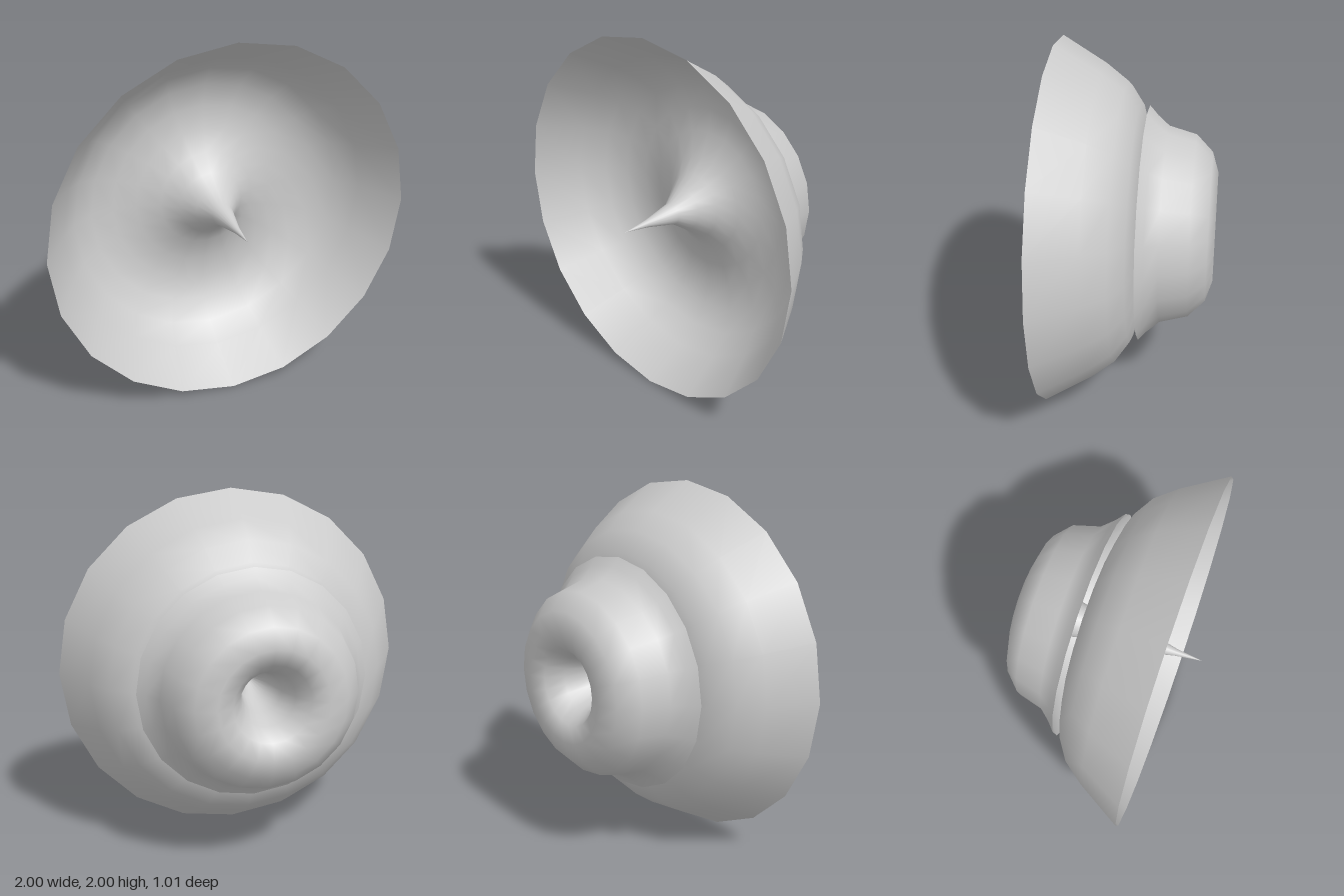
import * as THREE from 'three';

const SIDES = 20;

// Turns a [radius, z] profile around the horizontal axis facing the front
function turned(name, profile, material) {
  const points = profile.map(([r, z]) => new THREE.Vector2(r, z));
  const geometry = new THREE.LatheGeometry(points, SIDES);
  geometry.rotateX(Math.PI / 2);
  geometry.translate(0, 1, 0);
  const mesh = new THREE.Mesh(geometry, material);
  mesh.name = name;
  return mesh;
}

export function createModel() {
  const group = new THREE.Group();
  group.name = 'doubleBell';
  const material = new THREE.MeshStandardMaterial({ color: 0xcccccc, side: THREE.DoubleSide });

  // Wide front bowl whose floor rises into a central spike
  group.add(turned('frontBowl', [
    [0, 0.5], [0.02, 0.35], [0.06, 0.17], [0.12, 0.08], [0.18, 0], [0.27, -0.07],
    [0.4, -0.11], [0.53, -0.12], [0.66, -0.085], [0.77, -0.01], [0.86, 0.11], [1, 0.35],
  ], material));

  // Smaller flared bowl behind, with a funnel-shaped dimple in its back
  group.add(turned('rearBowl', [
    [0, 0.05], [0.08, -0.13], [0.11, -0.27], [0.15, -0.39], [0.21, -0.48], [0.3, -0.515],
    [0.41, -0.48], [0.5, -0.39], [0.54, -0.24], [0.6, -0.17], [0.645, -0.13],
  ], material));

  return group;
}
